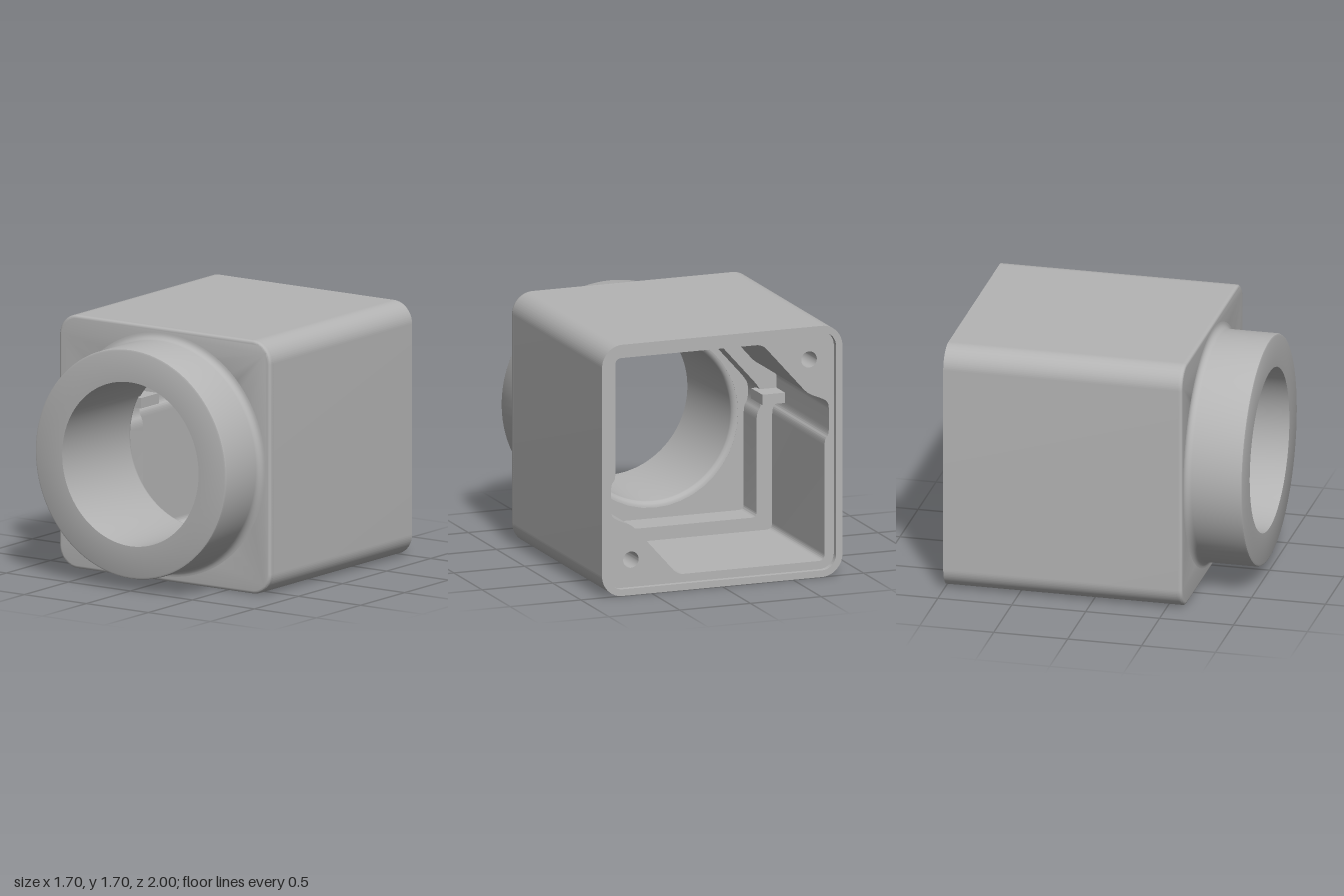
import * as THREE from 'three';
import { toCreasedNormals } from 'three/addons/utils/BufferGeometryUtils.js';

const HALF = 0.85;

// Closed outline with every corner softened by radius r
function rounded(points, r, Type = THREE.Path) {
  const path = new Type();
  const v = points.map(([x, y]) => new THREE.Vector2(x, y));
  v.forEach((p, i) => {
    const a = v[(i + v.length - 1) % v.length], b = v[(i + 1) % v.length];
    const toward = (q) => p.clone().lerp(q, Math.min(0.45, r / p.distanceTo(q)));
    const s = toward(a), e = toward(b);
    if (i === 0) path.moveTo(s.x, s.y); else path.lineTo(s.x, s.y);
    path.quadraticCurveTo(p.x, p.y, e.x, e.y);
  });
  path.closePath();
  return path;
}

// Square with true circular corners
function square(h, r, Type = THREE.Path) {
  const path = new Type(), c = h - r;
  path.absarc(c, c, r, 0, Math.PI / 2);
  path.absarc(-c, c, r, Math.PI / 2, Math.PI);
  path.absarc(-c, -c, r, Math.PI, Math.PI * 1.5);
  path.absarc(c, -c, r, Math.PI * 1.5, Math.PI * 2);
  path.closePath();
  return path;
}

const circle = (x, y, r) => new THREE.Path().absarc(x, y, r, 0, Math.PI * 2);

// Repeats half an outline after a half turn
const turned = (half) => [...half, ...half.map(([x, y]) => [-x, -y])];

export function createModel() {
  const model = new THREE.Group();
  model.position.y = HALF;
  const metal = new THREE.MeshStandardMaterial({ color: 0xb4b4b4 });
  metal.name = 'housing grey';

  const add = (name, geometry) => {
    const mesh = new THREE.Mesh(geometry, metal);
    mesh.name = name;
    model.add(mesh);
    return mesh;
  };
  const slab = (name, outline, holes, z0, z1, bevel = 0) => {
    outline.holes.push(...holes);
    const geo = new THREE.ExtrudeGeometry(outline, {
      depth: z1 - z0 - 2 * bevel, curveSegments: 20, bevelEnabled: bevel > 0,
      bevelThickness: bevel, bevelSize: bevel, bevelOffset: -bevel, bevelSegments: 4,
    });
    geo.translate(0, 0, z0 + bevel);
    return add(name, toCreasedNormals(geo, 0.6));
  };
  const liner = () => square(0.81, 0.1, THREE.Shape);

  // Outer walls and rounded front edge
  slab('outerShell', square(HALF, 0.145, THREE.Shape), [square(0.805, 0.1)], -1, 0.59);
  slab('frontFace', square(HALF, 0.145, THREE.Shape), [circle(0, 0, 0.6)], 0.555, 0.615, 0.02);

  // Inner lining with diagonal screw bosses and side grooves, set back from the rim
  const cavity = turned([
    [0.30, -0.75], [0.62, -0.39], [0.74, -0.34], [0.77, -0.31],
    [0.77, -0.10], [0.74, -0.07], [0.74, 0.75],
  ]);
  slab('cavityLining', liner(), [
    rounded(cavity, 0.045), circle(0.63, -0.62, 0.055), circle(-0.63, 0.62, 0.055),
  ], -0.96, -0.03);

  // Stepped flange deep in the cavity
  const opening = turned([
    [0.257, -0.66], [0.63, -0.24], [0.66, -0.19],
    [0.66, -0.09], [0.63, -0.04], [0.63, 0.66],
  ]);
  slab('innerFlange', liner(), [rounded(opening, 0.04)], -0.03, 0.2);
  slab('frontWall', liner(), [circle(0, 0, 0.59)], 0.2, 0.58);

  // Round collar with its base fillet and bore
  const profile = [];
  for (let i = 0; i <= 6; i++) {
    const a = (i / 6) * Math.PI / 2;
    profile.push([0.815 - 0.045 * Math.sin(a), 0.66 - 0.045 * Math.cos(a)]);
  }
  profile.push([0.77, 0.985], [0.7655, 0.9955], [0.755, 1], [0.55, 1], [0.55, 0.24],
    [0.553, 0.225], [0.565, 0.21], [0.58, 0.202], [0.6, 0.2]);
  const collar = new THREE.LatheGeometry(profile.map(([r, z]) => new THREE.Vector2(r, z)), 96);
  collar.rotateX(Math.PI / 2);
  add('collar', toCreasedNormals(collar, 0.6));

  // Small locating tabs on the side walls
  for (const s of [1, -1]) {
    add('locatingTab', new THREE.BoxGeometry(0.16, 0.07, 0.2))
      .position.set(s * 0.69, s * -0.17, -0.08);
  }

  return model;
}
